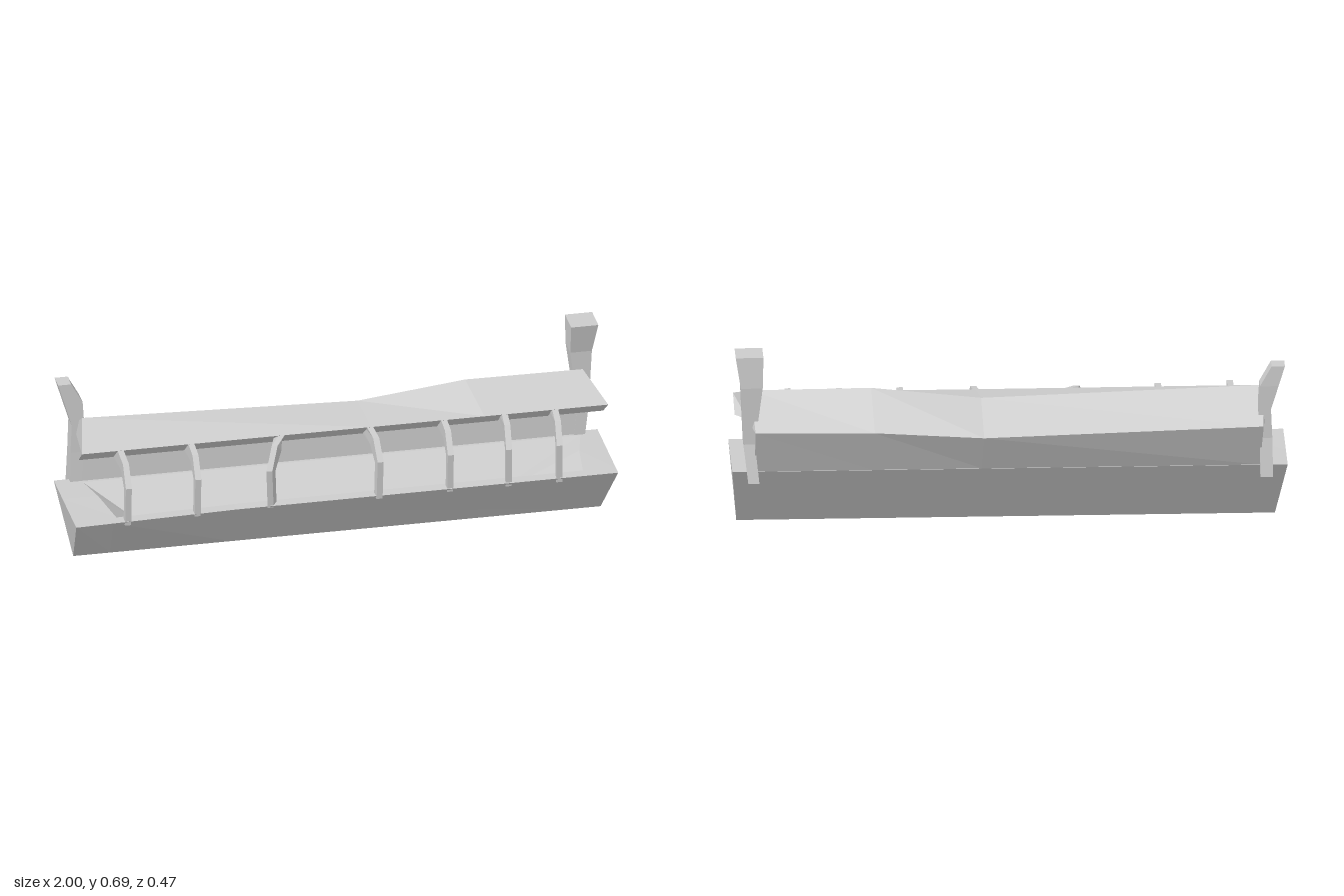
import * as THREE from 'three';

const material = new THREE.MeshStandardMaterial({ color: 0xcccccc, flatShading: true });

// Closed solid through rings of [x, y, z]; rings run along +x or +y, counter-clockwise seen from that side
function loft(name, rings, axis) {
  const positions = [];
  const tri = (...points) => points.forEach((p) => positions.push(...p));
  for (let r = 0; r < rings.length - 1; r++) {
    const a = rings[r], b = rings[r + 1];
    for (let i = 0; i < a.length; i++) {
      const j = (i + 1) % a.length;
      tri(a[i], a[j], b[j]);
      tri(a[i], b[j], b[i]);
    }
  }
  const cap = (ring, reversed) => {
    const flat = ring.map(([x, y, z]) => (axis === 'x' ? new THREE.Vector2(-z, y) : new THREE.Vector2(x, -z)));
    for (const [i, j, k] of THREE.ShapeUtils.triangulateShape(flat, [])) {
      if (reversed) tri(ring[i], ring[k], ring[j]);
      else tri(ring[i], ring[j], ring[k]);
    }
  };
  cap(rings[0], true);
  cap(rings[rings.length - 1], false);
  const geometry = new THREE.BufferGeometry();
  geometry.setAttribute('position', new THREE.Float32BufferAttribute(positions, 3));
  geometry.computeVertexNormals();
  const mesh = new THREE.Mesh(geometry, material);
  mesh.name = name;
  return mesh;
}

// Uneven front rim of the trough: [z, y] at x
function frontRim(x) {
  const t = x < -0.4 ? (-0.4 - x) / 0.6 : (x + 0.4) / 1.4;
  return [THREE.MathUtils.lerp(0.185, x < -0.4 ? 0.235 : 0.205, t), THREE.MathUtils.lerp(0.222, 0.235, t)];
}

// V-shaped trough with a hollow whose ends slope down to the bottom
function createTrough() {
  const ring = (x, xFront, xBack, xBottom, depth) => {
    const [z, y] = frontRim(x);
    const [zIn, yIn] = frontRim(xFront);
    return [
      [x, y, z], [x * 0.97 + 0.01, 0, -0.006], [x, 0.235, -0.155],
      [xBack, 0.235, -0.12], [xBottom, 0.235 - depth, 0], [xFront, yIn, zIn - 0.045],
    ];
  };
  return loft('trough', [
    ring(-1, -1, -1, -1, 0),
    ring(-0.86, -0.84, -0.9, -0.87, 0),
    ring(-0.86, -0.84, -0.9, -0.67, 0.16),
    ring(-0.4, -0.4, -0.4, -0.4, 0.16),
    ring(0.88, 0.88, 0.93, 0.56, 0.16),
    ring(0.88, 0.88, 0.93, 0.9, 0),
    ring(1, 1, 1, 1, 0),
  ], 'x');
}

// Cover: sloping roof and back wall with a sagging ridge
function createCover() {
  // z, y, left-hand x, right-hand x
  const profile = [
    [0.088, 0.453, -0.948, 0.988], [0.015, 0.394, -0.945, 0.985], [-0.06, 0.394, -0.91, 0.92],
    [-0.128, 0.335, -0.9, 0.92], [-0.126, 0.238, -0.9, 0.92], [-0.16, 0.238, -0.9, 0.92],
    [-0.238, 0.41, -0.91, 0.92], [-0.08, 0.52, -0.912, 0.93],
  ];
  // fraction along the length, ridge drop, back edge drop
  const stations = [[0, 0.006, 0], [0.55, 0.041, 0.03], [0.765, -0.003, 0.005], [1, 0, 0]];
  return loft('cover', stations.map(([t, ridge, back]) => profile.map(([z, y, x0, x1], i) => [
    THREE.MathUtils.lerp(x0, x1, t), y - (i === 7 ? ridge : i === 6 ? back : 0), z,
  ])), 'x');
}

// Post with rectangular sections [y, x0, x1, z0, z1]
function createPost(name, sections) {
  return loft(name, sections.map(([y, x0, x1, z0, z1]) => [
    [x0, y, z1], [x1, y, z1], [x1, y, z0], [x0, y, z0],
  ]), 'y');
}

// Bent rib from the trough's front rim back under the roof
function createRib(x, shift, lean) {
  // z, y : inner line going down, then outer line going up
  const profile = [
    [-0.055, 0.42], [0.08, 0.453], [0.15, 0.442], [0.2, 0.367], [0.188, 0.215],
    [0.16, 0.215], [0.17, 0.353], [0.115, 0.402], [-0.055, 0.392],
  ];
  const side = (half) => profile.map(([z, y]) => [
    x + half + lean * (0.19 - Math.max(z, 0.05)), y, z + (z > 0.09 ? shift : 0),
  ]);
  return loft('rib', [side(-0.011), side(0.011)], 'x');
}

export function createModel() {
  const model = new THREE.Group();
  model.name = 'coveredTrough';
  model.add(createTrough(), createCover());
  model.add(createPost('leftPost', [
    [0.208, 0.905, 0.945, -0.21, -0.125], [0.35, 0.92, 0.962, -0.186, -0.127],
    [0.57, 0.893, 0.972, -0.205, -0.12], [0.685, 0.89, 0.99, -0.2, -0.092],
  ]));
  model.add(createPost('rightPost', [
    [0.208, -0.945, -0.9, -0.21, -0.13], [0.35, -0.943, -0.897, -0.19, -0.135],
    [0.46, -0.938, -0.892, -0.195, -0.135], [0.55, -0.965, -0.898, -0.2, -0.135],
    [0.625, -0.988, -0.94, -0.2, -0.135],
  ]));
  // x, forward shift, sideways lean
  const ribs = [
    [-0.805, 0.028, 0], [-0.545, 0.008, 0], [-0.275, -0.006, 0.6],
    [0.125, 0.005, -0.12], [0.385, 0.002, 0], [0.6, 0.003, 0.08], [0.785, 0.008, 0.08],
  ];
  for (const rib of ribs) model.add(createRib(...rib));
  return model;
}
